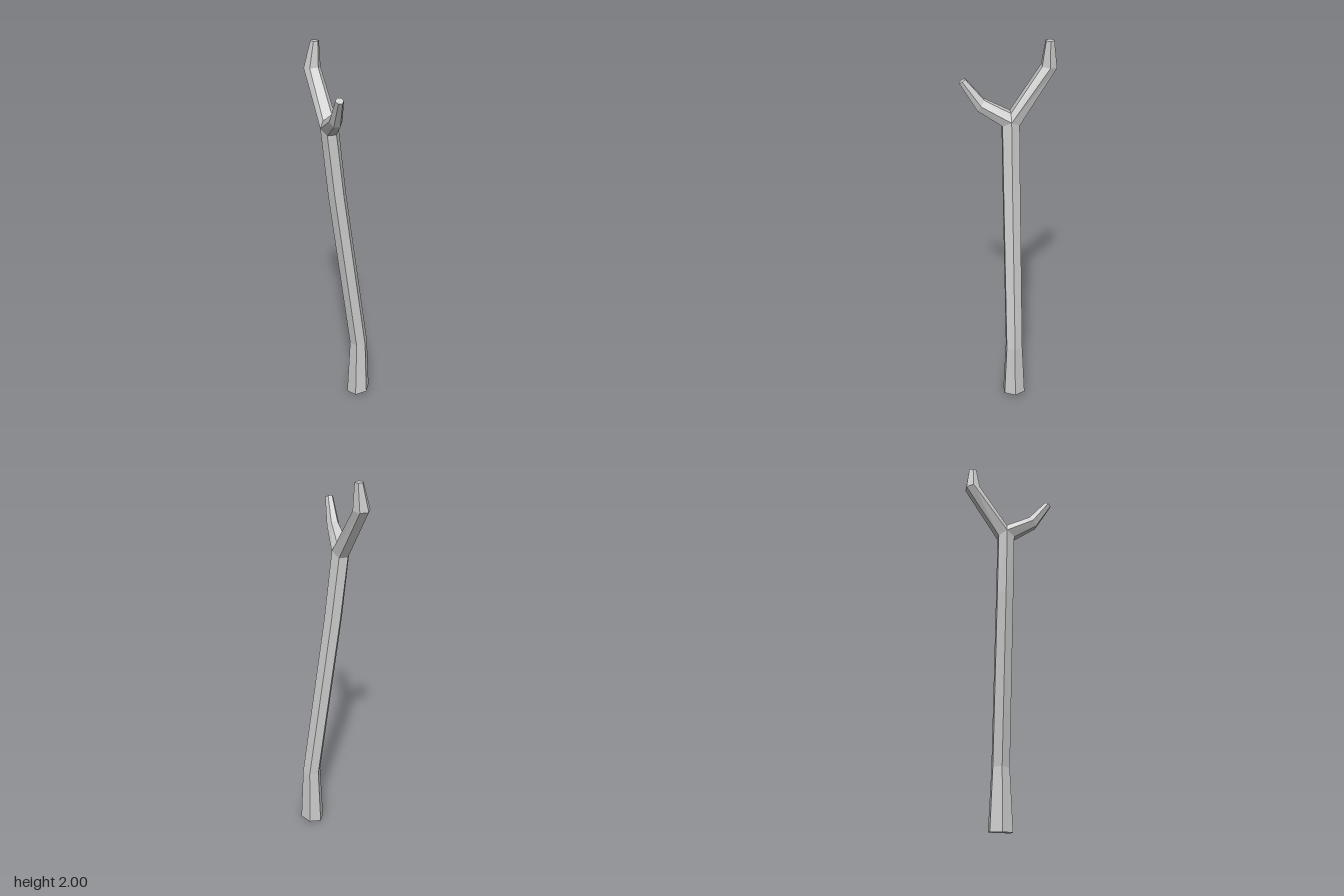
import * as THREE from 'three';

const V = (x, y, z) => new THREE.Vector3(x, y, z);

// Hexagonal ring: corners on +-x, flats along the half-depth direction (dy, dz);
// lean raises the +x side.
function ring(x, y, z, r, dy, dz, lean = 0) {
  return [[1, 0], [0.5, 1], [-0.5, 1], [-1, 0], [-0.5, -1], [0.5, -1]]
    .map(([u, v]) => V(x + u * r, y + u * lean + v * dy, z + v * dz));
}

// Flat-faced skin over a list of rings, with optional end caps
function loft(name, rings, capStart, capEnd, material) {
  const pts = [];
  for (let k = 0; k + 1 < rings.length; k++) {
    const a = rings[k], b = rings[k + 1];
    for (let i = 0; i < 6; i++) {
      const j = (i + 1) % 6;
      pts.push(a[i], b[i], a[j], b[i], b[j], a[j]);
    }
  }
  const first = rings[0], last = rings[rings.length - 1];
  for (let i = 1; i < 5; i++) {
    if (capStart) pts.push(first[0], first[i], first[i + 1]);
    if (capEnd) pts.push(last[0], last[i + 1], last[i]);
  }
  const geometry = new THREE.BufferGeometry().setFromPoints(pts);
  geometry.computeVertexNormals();
  const mesh = new THREE.Mesh(geometry, material);
  mesh.name = name;
  return mesh;
}

export function createModel() {
  const group = new THREE.Group();
  group.name = 'forkedStick';
  const wood = new THREE.MeshStandardMaterial({ color: 0xcccccc, flatShading: true });

  // Fork: the trunk's top ring is split between both branches by a crotch edge
  const top = ring(-0.075, 1.585, -0.01, 0.047, 0, 0.043);
  top[0].y = 1.61;
  top[3].y = 1.61;
  const [left, frontL, frontR, right, backR, backL] = top;
  const crotchL = V(-0.055, 1.65, -0.01), crotchR = V(-0.107, 1.65, -0.01);

  // Trunk, slightly wider and tilted at the foot
  group.add(loft('trunk', [
    ring(0.085, 0.01, -0.01, 0.065, 0, 0.057, 0.01),
    ring(0.086, 0.33, -0.01, 0.05, 0, 0.043),
    ring(-0.037, 1.25, -0.01, 0.048, 0, 0.043),
    top,
  ], true, false, wood));

  // Short front branch
  group.add(loft('frontBranch', [
    [left, frontL, frontR, right, crotchR, crotchL],
    ring(-0.085, 1.692, 0.137, 0.033, -0.027, 0.018),
    ring(-0.093, 1.815, 0.225, 0.021, -0.01, 0.015),
  ], false, true, wood));

  // Long back branch, bending upright at the end
  group.add(loft('backBranch', [
    [left, crotchL, crotchR, right, backR, backL],
    ring(-0.107, 1.868, -0.203, 0.044, 0.004, 0.037),
    ring(-0.092, 2.0, -0.203, 0.022, 0, 0.02),
  ], false, true, wood));

  return group;
}
